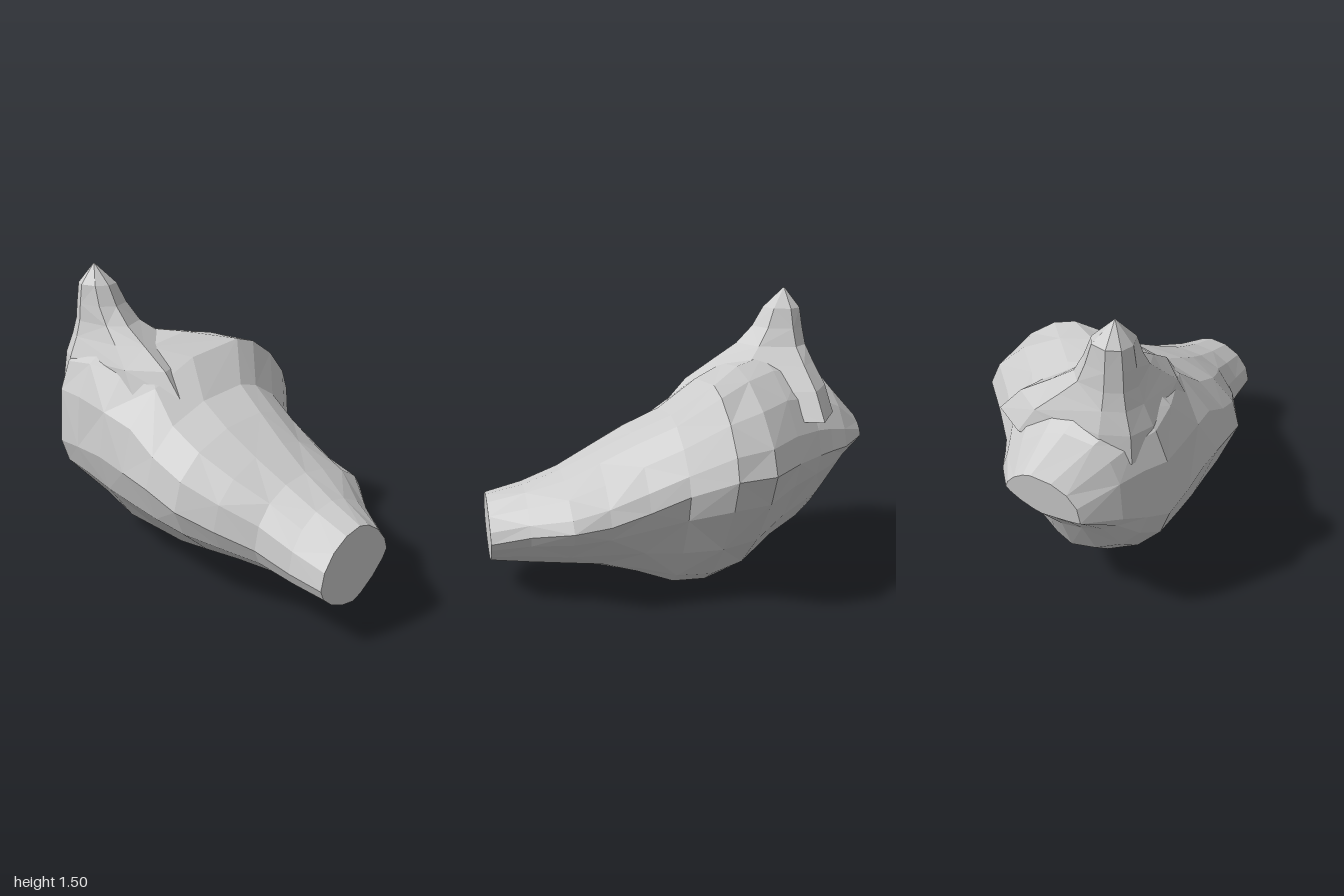
import * as THREE from 'three';

const material = new THREE.MeshStandardMaterial({ color: 0xcccccc, flatShading: true });

// Skin a stack of equal-length rings of [x, y, z] points and close both ends.
function loft(name, rings) {
  const pos = [];
  const tri = (a, b, c) => pos.push(...a, ...b, ...c);
  const n = rings[0].length;
  const middle = (ring) => [0, 1, 2].map((k) => ring.reduce((s, p) => s + p[k], 0) / n);
  const first = rings[0], last = rings[rings.length - 1];
  const start = middle(first), end = middle(last);
  for (let j = 0; j < n; j++) {
    const k = (j + 1) % n;
    for (let i = 0; i < rings.length - 1; i++) {
      const a = rings[i][j], b = rings[i][k], c = rings[i + 1][j], d = rings[i + 1][k];
      if ((i + j) % 2) { tri(a, c, b); tri(b, c, d); }
      else { tri(a, c, d); tri(a, d, b); }
    }
    tri(start, first[j], first[k]);
    tri(end, last[k], last[j]);
  }
  const geometry = new THREE.BufferGeometry();
  geometry.setAttribute('position', new THREE.Float32BufferAttribute(pos, 3));
  geometry.computeVertexNormals();
  const mesh = new THREE.Mesh(geometry, material);
  mesh.name = name;
  return mesh;
}

// Uneven oval in the yz plane; each quarter has its own roundness.
function bodySection([x, yBottom, zBottom, yTop, zTop, zFront, yFront, zBack, yBack, shoulder]) {
  const front = [zFront, yFront], top = [zTop, yTop];
  const back = [zBack, yBack], bottom = [zBottom, yBottom];
  // side point, crown point, roundness, whether it runs side to crown
  const quarters = [
    [front, top, shoulder, true], [back, top, 1.6, false],
    [back, bottom, 1.3, true], [front, bottom, 1.75, false],
  ];
  const steps = 4, ring = [];
  for (const [side, crown, power, fromSide] of quarters) {
    for (let s = 0; s < steps; s++) {
      const t = (fromSide ? s : steps - s) / steps * Math.PI / 2;
      const u = Math.pow(Math.max(0, Math.cos(t)), 2 / power);
      const v = Math.pow(Math.sin(t), 2 / power);
      ring.push([x, side[1] + (crown[1] - side[1]) * v, crown[0] + (side[0] - crown[0]) * u]);
    }
  }
  return ring;
}

// Eight-sided horizontal ring about the peak's axis, reaching the x and z limits.
function peakSection([y, x0, x1, z0, z1]) {
  const cx = -0.68, cz = 0.3;
  return Array.from({ length: 8 }, (_, j) => {
    const t = j / 8 * Math.PI * 2, c = Math.cos(t), s = Math.sin(t);
    return [cx + c * (c > 0 ? x1 - cx : cx - x0), y, cz + s * (s > 0 ? z1 - cz : cz - z0)];
  });
}

export function createModel() {
  const group = new THREE.Group();
  group.name = 'rock';

  // Main mass, from the blunt wide end to the flat-cut narrow end:
  // x, bottom y z, top y z, front z y, back z y, front shoulder roundness
  const body = [
    [-1, 0.65, 0.1, 0.84, 0.05, 0.29, 0.66, -0.08, 0.74, 2.2],
    [-0.87, 0.5, 0.12, 1.01, 0.15, 0.43, 0.64, -0.18, 0.72, 2.8],
    [-0.77, 0.29, 0.11, 1.08, 0.18, 0.5, 0.6, -0.23, 0.72, 3],
    [-0.68, 0.21, 0.1, 1.12, 0.2, 0.57, 0.58, -0.28, 0.72, 3],
    [-0.5, 0.14, 0.05, 1.16, 0.14, 0.59, 0.6, -0.43, 0.74, 2.6],
    [-0.31, 0.02, 0, 1.15, 0, 0.59, 0.6, -0.6, 0.75, 2.2],
    [-0.12, 0, -0.08, 1.11, -0.2, 0.59, 0.57, -0.6, 0.74, 2.1],
    [0.06, 0.01, -0.08, 0.93, -0.05, 0.59, 0.54, -0.42, 0.62, 2.1],
    [0.25, 0.08, -0.05, 0.84, 0, 0.575, 0.48, -0.38, 0.54, 2.1],
    [0.44, 0.12, 0, 0.74, 0.04, 0.5, 0.42, -0.36, 0.48, 2.1],
    [0.62, 0.135, 0.05, 0.65, 0.07, 0.41, 0.36, -0.35, 0.46, 2.1],
    [0.81, 0.14, 0.1, 0.58, 0.1, 0.385, 0.31, -0.19, 0.4, 2],
    [1, 0.155, 0.15, 0.53, 0.13, 0.385, 0.3, -0.085, 0.34, 1.9],
  ];
  group.add(loft('body', body.map(bodySection)));

  // Pointed peak flaring into the wide end: y, x limits, z limits
  const peak = [
    [0.9, -0.86, 0, -0.3, 0.5],
    [1.03, -0.84, -0.12, -0.18, 0.48],
    [1.13, -0.81, -0.28, -0.02, 0.435],
    [1.21, -0.79, -0.41, 0.1, 0.41],
    [1.3, -0.78, -0.5, 0.15, 0.4],
    [1.4, -0.77, -0.56, 0.19, 0.385],
    [1.5, -0.685, -0.675, 0.295, 0.305],
  ];
  group.add(loft('peak', peak.map(peakSection)));
  return group;
}
